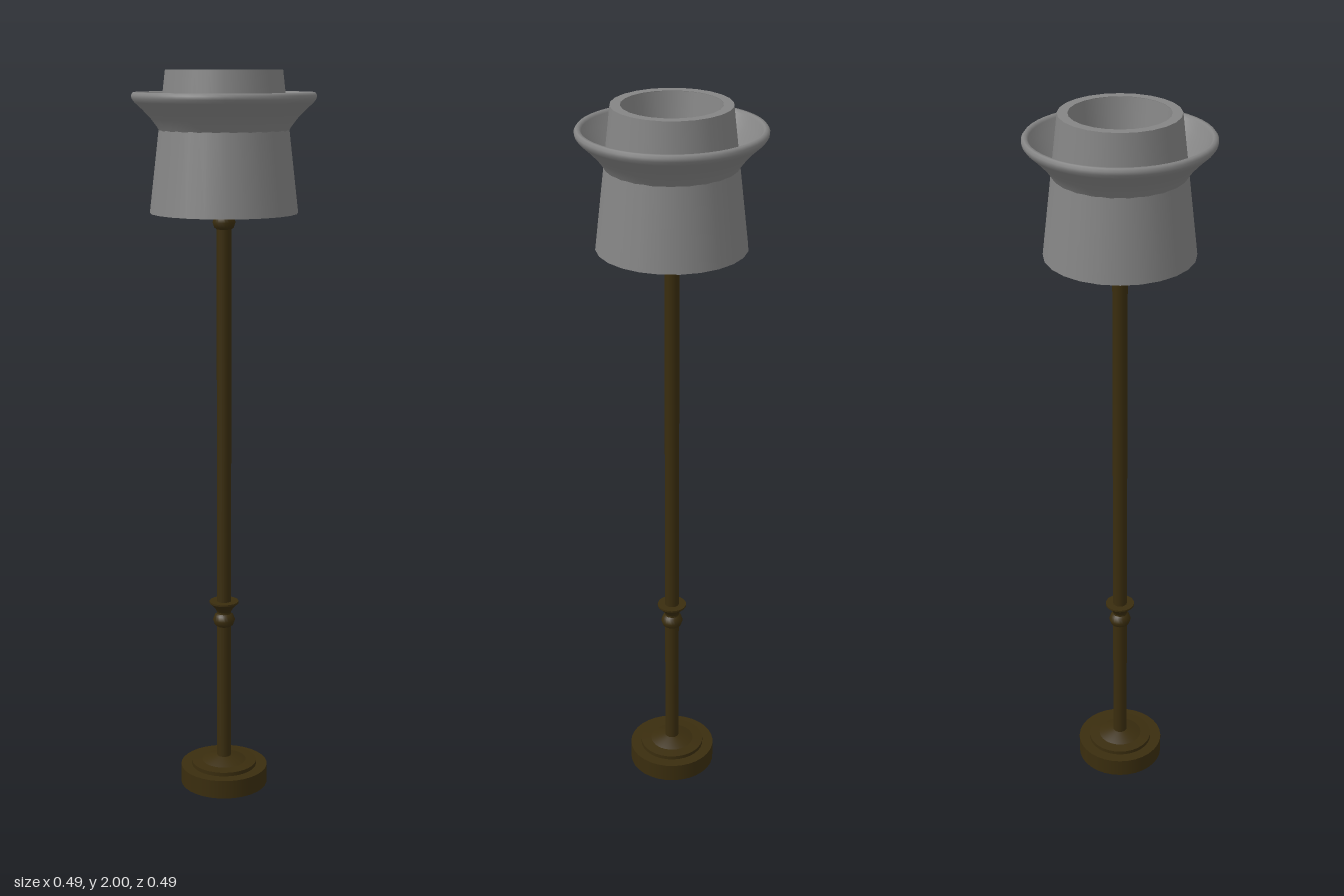
import * as THREE from 'three';
import { mergeGeometries } from 'three/addons/utils/BufferGeometryUtils.js';

// Turned part: each profile is a smooth strip of [radius, y]; edges between strips stay sharp.
function turned(name, material, sides, ...profiles) {
  const strips = profiles.map(p =>
    new THREE.LatheGeometry(p.map(([r, y]) => new THREE.Vector2(r, y)), sides));
  const mesh = new THREE.Mesh(mergeGeometries(strips), material);
  mesh.name = name;
  return mesh;
}

// Consecutive points become separate sharp-edged strips.
const sharp = pts => pts.slice(1).map((p, i) => [pts[i], p]);

export function createModel() {
  const model = new THREE.Group();
  model.name = 'floorLamp';
  const shade = new THREE.MeshStandardMaterial({ color: 0x848484, side: THREE.DoubleSide });
  shade.name = 'greyShade';
  const bronze = new THREE.MeshStandardMaterial({ color: 0x3a2d0e });
  bronze.name = 'darkBronze';

  // Stepped foot
  model.add(turned('base', bronze, 32, ...sharp([
    [0, 0], [0.123, 0], [0.123, 0.053], [0.092, 0.053], [0.092, 0.064], [0.062, 0.066]]),
    [[0.062, 0.066], [0.04, 0.074], [0.018, 0.08]]));

  // Pole
  const pole = new THREE.Mesh(new THREE.CylinderGeometry(0.02, 0.02, 1.605, 16), bronze);
  pole.name = 'pole';
  pole.position.y = 0.8675;
  model.add(pole);

  // Bead and flared cup, on the lower pole and under the shade
  for (const [name, y] of [['lowerCollar', 0.49], ['upperCollar', 1.605]]) {
    const collar = turned(name, bronze, 20,
      [[0.018, -0.02], [0.026, -0.014], [0.031, 0], [0.026, 0.014], [0.018, 0.02]],
      [[0.018, 0.02], [0.024, 0.032], [0.034, 0.043], [0.041, 0.05]],
      [[0.041, 0.05], [0.041, 0.055]],
      [[0.041, 0.055], [0.015, 0.055]]);
    collar.position.y = y;
    model.add(collar);
  }

  // Tapered drum with thick wall
  model.add(turned('shadeDrum', shade, 24, ...sharp([
    [0.128, 2], [0.161, 1.63], [0.197, 1.63], [0.154, 2], [0.128, 2]])));

  // Funnel inside the drum, resting on the upper cup
  model.add(turned('shadeBowl', shade, 24, ...sharp([
    [0.128, 1.999], [0.08, 1.675], [0.018, 1.663]])));

  // Flared ring around the drum
  model.add(turned('shadeFlare', shade, 48, [
    [0.168, 1.84], [0.177, 1.855], [0.192, 1.875], [0.215, 1.899], [0.235, 1.917],
    [0.242, 1.927], [0.243, 1.936], [0.238, 1.943], [0.23, 1.943], [0.225, 1.937],
    [0.213, 1.915], [0.192, 1.89], [0.178, 1.872], [0.165, 1.86]]));

  return model;
}
